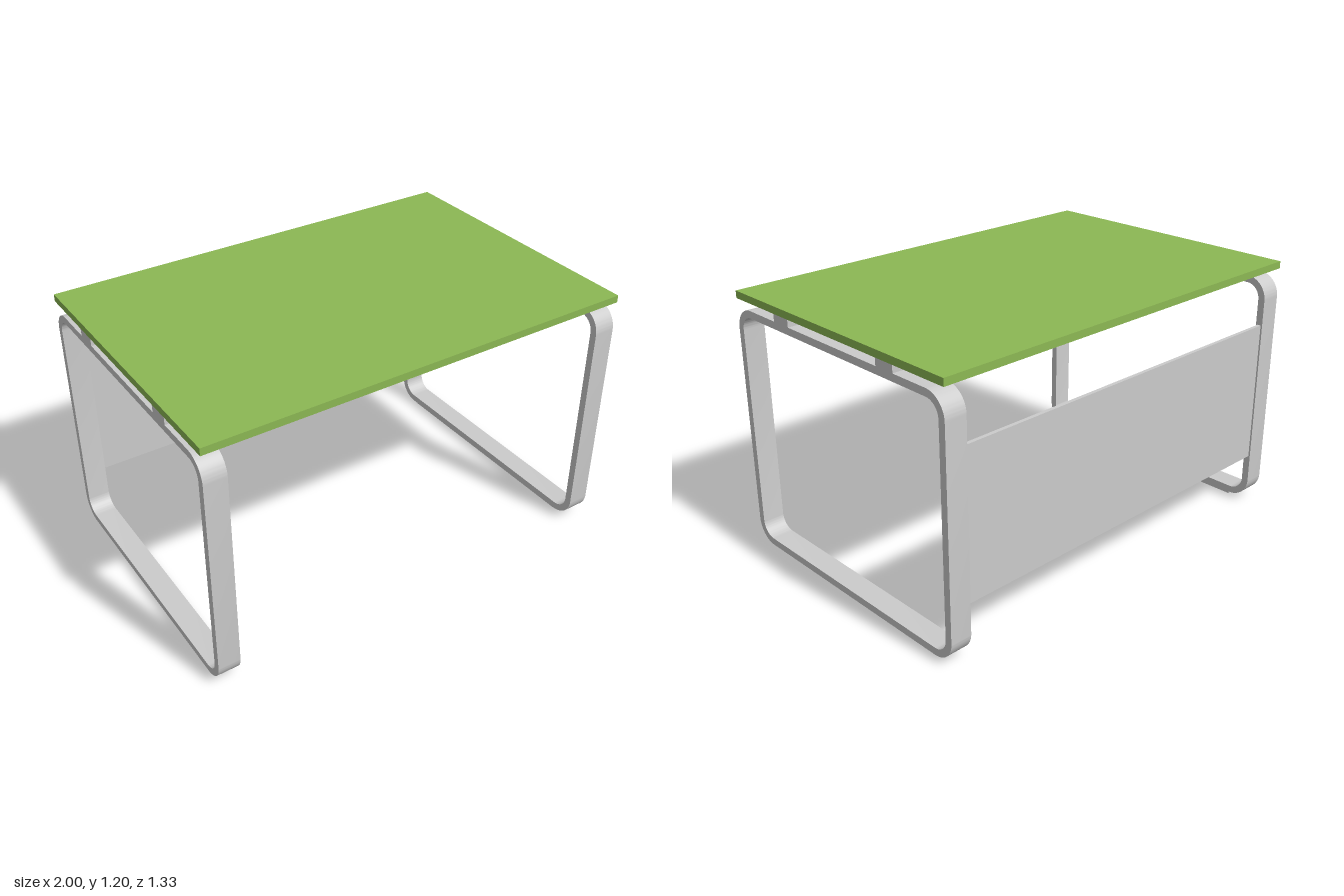
import * as THREE from 'three';
import { toCreasedNormals } from 'three/addons/utils/BufferGeometryUtils.js';

const green = new THREE.MeshStandardMaterial({ color: 0x8cb854 });
const grey = new THREE.MeshStandardMaterial({ color: 0xcccccc });

const HALF_DEPTH = 0.667, FRAME_BOTTOM = 0.02, FRAME_TOP = 1.137, BAR = 0.033, LEG_WIDTH = 0.1;

// Box given by its [min, max] range on each axis
function box(name, [x0, x1], [y0, y1], [z0, z1], material) {
  const mesh = new THREE.Mesh(new THREE.BoxGeometry(x1 - x0, y1 - y0, z1 - z0), material);
  mesh.position.set((x0 + x1) / 2, (y0 + y1) / 2, (z0 + z1) / 2);
  mesh.name = name;
  return mesh;
}

// Rounded rectangle of the leg loop, shrunk by an inset
function roundedLoop(target, inset, r) {
  const w = HALF_DEPTH - inset, b = FRAME_BOTTOM + inset, t = FRAME_TOP - inset;
  target.absarc(w - r, t - r, r, 0, Math.PI / 2);
  target.absarc(-w + r, t - r, r, Math.PI / 2, Math.PI);
  target.absarc(-w + r, b + r, r, Math.PI, Math.PI * 1.5);
  target.absarc(w - r, b + r, r, Math.PI * 1.5, Math.PI * 2);
  target.closePath();
  return target;
}

function legFrameGeometry() {
  const shape = roundedLoop(new THREE.Shape(), 0, 0.1);
  shape.holes.push(roundedLoop(new THREE.Path(), BAR, 0.067));
  const geometry = new THREE.ExtrudeGeometry(shape, { depth: LEG_WIDTH, bevelEnabled: false, curveSegments: 12 });
  geometry.translate(0, 0, -LEG_WIDTH / 2).rotateY(Math.PI / 2);
  return toCreasedNormals(geometry, 0.5);
}

export function createModel() {
  const desk = new THREE.Group();
  desk.name = 'desk';

  desk.add(box('tabletop', [-1, 1], [1.17, 1.203], [-HALF_DEPTH, HALF_DEPTH], green));

  // Two rails carrying the top
  for (const z of [-0.335, 0.335]) {
    desk.add(box(z > 0 ? 'frontRail' : 'backRail', [-1, 1], [FRAME_TOP, 1.17], [z - 0.05, z + 0.05], grey));
  }

  // Loop legs with foot strips
  const loop = legFrameGeometry();
  for (const side of [-1, 1]) {
    const x = side * (1 - LEG_WIDTH / 2);
    const prefix = side > 0 ? 'left' : 'right';
    const leg = new THREE.Mesh(loop, grey);
    leg.name = prefix + 'LegFrame';
    leg.position.x = x;
    desk.add(leg);
    desk.add(box(prefix + 'FootStrip', [x - 0.033, x + 0.033], [0, FRAME_BOTTOM], [-0.553, 0.553], grey));
  }

  // Modesty panel between the back uprights
  desk.add(box('modestyPanel', [-0.9, 0.9], [0.25, 0.917], [-0.659, -0.642], grey));

  return desk;
}
